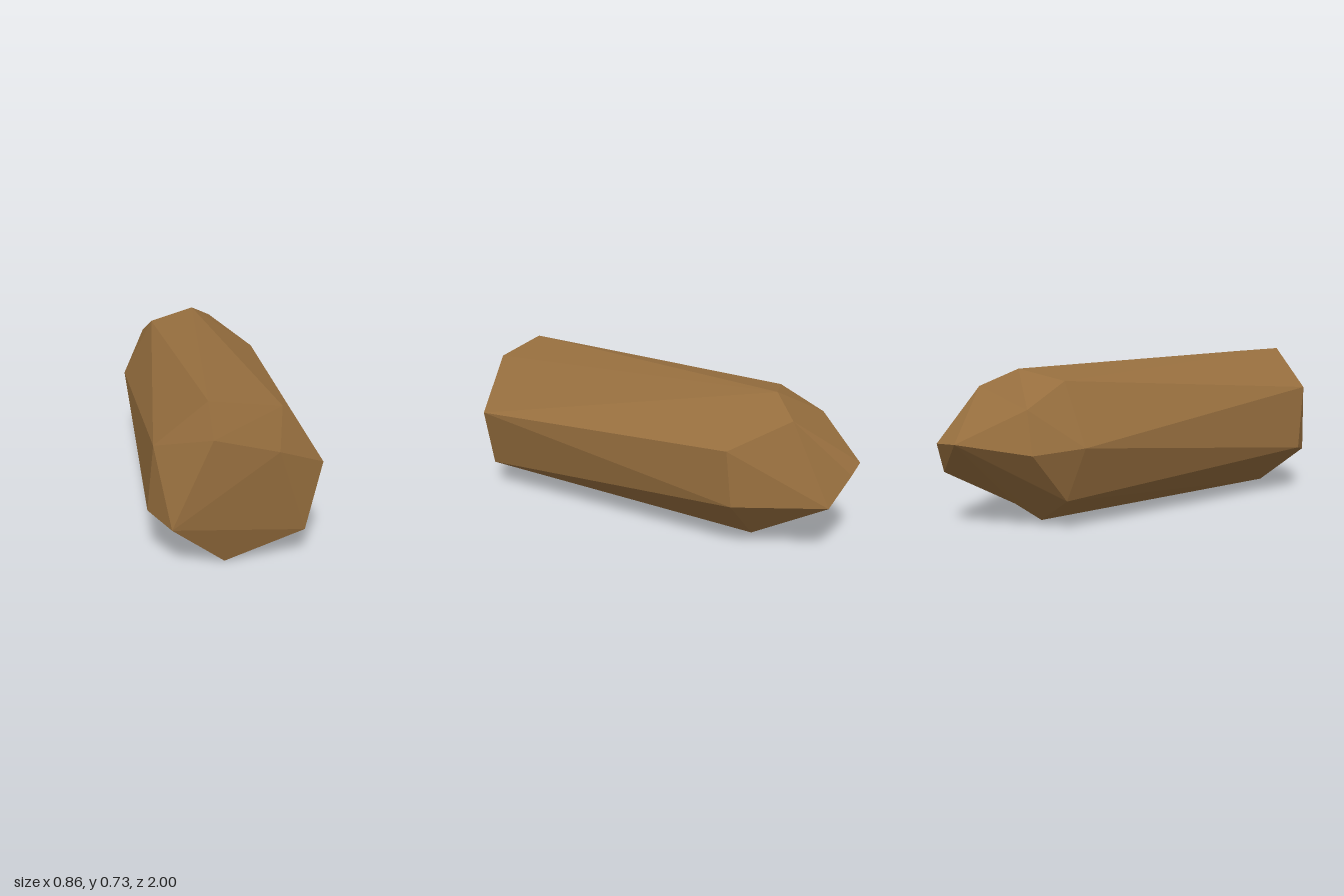
import * as THREE from 'three';

export function createModel() {
  const brown = new THREE.MeshStandardMaterial({ color: 0x966e3e });
  brown.name = 'brown';

  const tris = [];
  const tri = (a, b, c) => {
    if (a !== b && b !== c && c !== a) tris.push(...a, ...b, ...c);
  };
  // Fan of triangles around one corner
  const fan = (c, ring, reverse) => {
    for (let i = 0; i + 1 < ring.length; i++) {
      if (reverse) tri(c, ring[i + 1], ring[i]);
      else tri(c, ring[i], ring[i + 1]);
    }
  };
  // Join two rings; the diagonal is turned the other way at the listed quads
  const stitch = (a, b, turned) => {
    for (let i = 0; i < a.length; i++) {
      const j = (i + 1) % a.length;
      if (turned.includes(i)) {
        tri(a[i], a[j], b[i]);
        tri(a[j], b[j], b[i]);
      } else {
        tri(a[i], a[j], b[j]);
        tri(a[i], b[j], b[i]);
      }
    }
  };

  // Broad front end: rim, clockwise from the upper right
  const f0 = [-0.05, 0.73, 0.93], f1 = [0.25, 0.69, 0.89], f2 = [0.43, 0.43, 0.86];
  const f3 = [0.36, 0.13, 0.88], f4 = [0.02, 0, 0.9], f5 = [-0.3, 0.235, 0.88];
  const f6 = [-0.27, 0.545, 0.93];
  const front = [f1, f2, f3, f4, f4, f5, f6, f0];

  // Shoulder ring where the taper begins
  const shoulder = [
    [-0.06, 0.715, -0.6], [0.26, 0.51, -0.55], [0.26, 0.25, -0.58], [0.07, 0.05, -0.57],
    [-0.11, 0.005, -0.52], [-0.345, 0.145, -0.51], [-0.43, 0.395, -0.46], [-0.28, 0.675, -0.48],
  ];

  // Taper ring and the two tip corners
  const ta = [0.04, 0.635, -0.75], tb = [0.02, 0.26, -0.94];
  const tc = [-0.395, 0.38, -0.7], td = [-0.33, 0.57, -0.69];
  const tip = [-0.06, 0.41, -1], tipSide = [-0.19, 0.423, -0.97];
  const taper = [ta, ta, tb, tipSide, tipSide, tipSide, tc, td];

  stitch(front, shoulder, [0]);
  stitch(shoulder, taper, [1, 3, 4, 5, 6].length ? [2, 7] : []);
  fan(tipSide, [tc, td, ta, tip], false);
  fan(tip, [ta, tb, tipSide], false);

  // Slightly bulging front face
  const low = [-0.2, 0.2, 1], high = [-0.03, 0.58, 0.975], side = [0.24, 0.51, 0.94];
  fan(side, [f1, f2, f3, low, high, f1], true);
  fan(high, [low, f6, f0, f1], true);
  fan(low, [f3, f4, f5, f6], true);

  const geometry = new THREE.BufferGeometry();
  geometry.setAttribute('position', new THREE.Float32BufferAttribute(tris, 3));
  geometry.computeVertexNormals();

  const stone = new THREE.Mesh(geometry, brown);
  stone.name = 'facetedStone';
  const group = new THREE.Group();
  group.name = 'stone';
  group.add(stone);
  return group;
}
